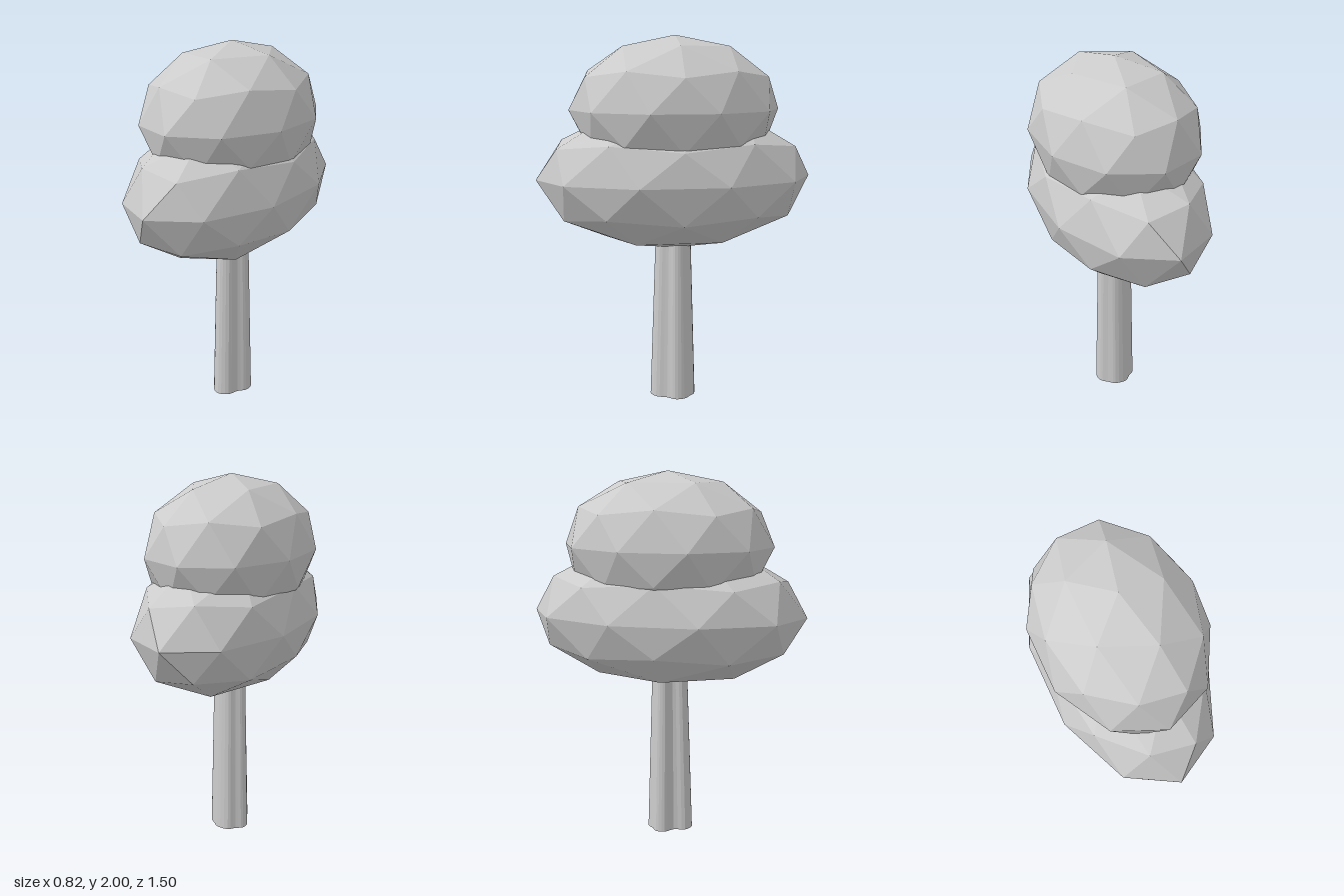
import * as THREE from 'three';

const material = new THREE.MeshStandardMaterial({ color: 0xcccccc, flatShading: true });

// Faceted foliage clump: a once-divided icosahedron standing on one of its corners
function foliage(name, y, rx, ry, rz) {
  const geo = new THREE.IcosahedronGeometry(1, 1);
  geo.rotateZ(-Math.atan(2 / (1 + Math.sqrt(5))));
  geo.scale(rx, ry, rz);
  geo.computeVertexNormals();
  const mesh = new THREE.Mesh(geo, material);
  mesh.name = name;
  mesh.position.y = y;
  return mesh;
}

// Fluted trunk: lobed outline (x, z) pulled upwards and tapered
function trunk(height) {
  const outline = [
    [0, 0.14], [0.055, 0.115], [0.08, 0.055], [0.113, 0.015], [0.11, -0.04],
    [0.075, -0.075], [0.04, -0.105], [-0.03, -0.108], [-0.065, -0.075],
    [-0.1, -0.05], [-0.102, 0], [-0.06, 0.045], [-0.05, 0.11],
  ].map(([x, z]) => new THREE.Vector3(x, -z, 0));
  const curve = new THREE.CatmullRomCurve3(outline, true);
  const points = curve.getPoints(39).slice(0, -1).map((p) => new THREE.Vector2(p.x, p.y));
  const geo = new THREE.ExtrudeGeometry(new THREE.Shape(points), {
    depth: height, steps: 1, bevelEnabled: false,
  });
  geo.rotateX(-Math.PI / 2);
  const pos = geo.attributes.position;
  for (let i = 0; i < pos.count; i++) {
    const t = pos.getY(i) / height;
    pos.setX(i, pos.getX(i) * (1 - 0.18 * t));
    pos.setZ(i, pos.getZ(i) * (1 - 0.24 * t));
  }
  geo.computeVertexNormals();
  const mesh = new THREE.Mesh(geo, material);
  mesh.name = 'trunk';
  return mesh;
}

export function createModel() {
  const tree = new THREE.Group();
  tree.name = 'tree';
  tree.add(
    trunk(0.95),
    foliage('lowerFoliage', 1.24, 0.43, 0.39, 0.75),
    foliage('upperFoliage', 1.61, 0.43, 0.39, 0.568),
  );
  return tree;
}
